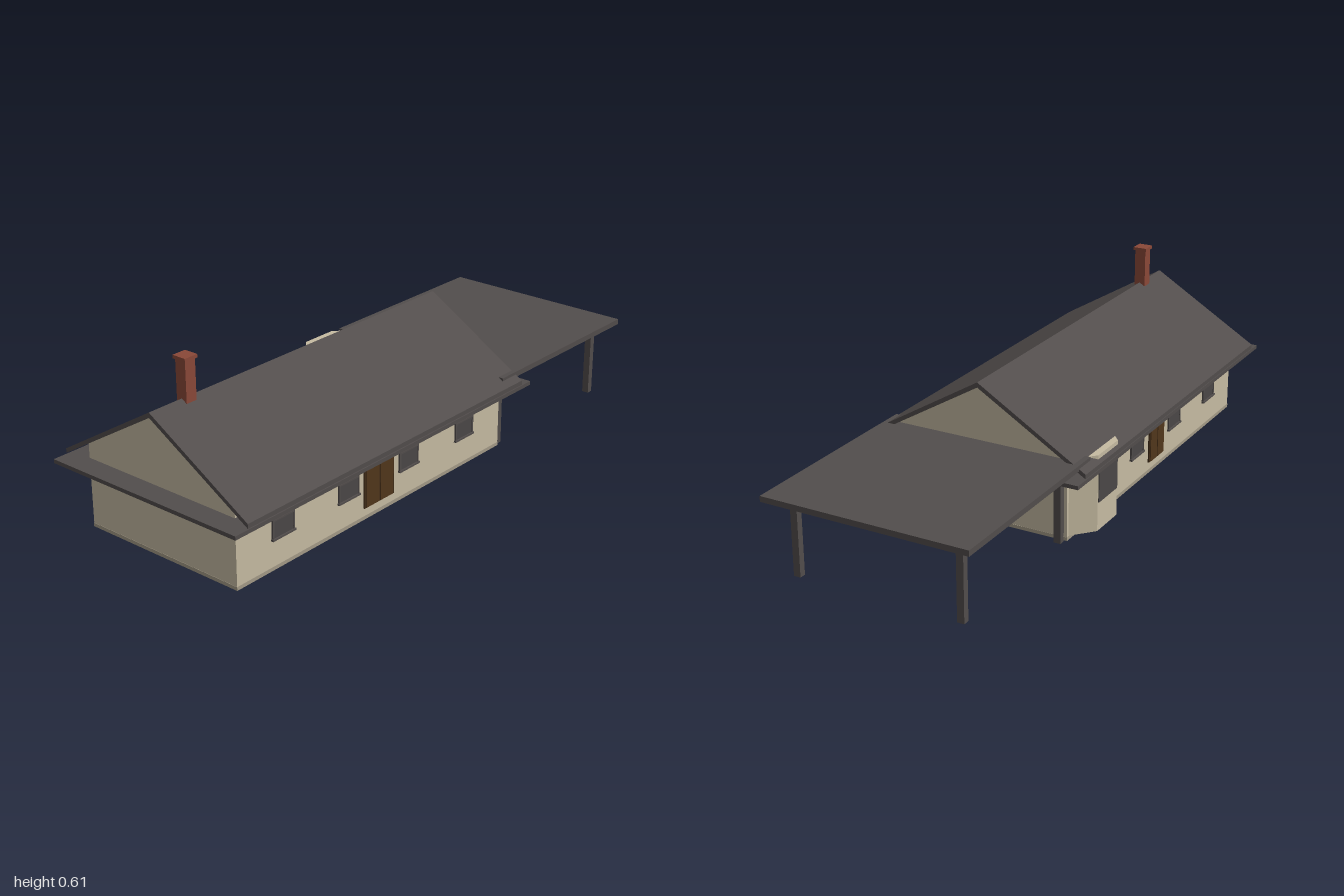
import * as THREE from 'three';

const mat = (name, color) => {
  const m = new THREE.MeshStandardMaterial({ color });
  m.name = name;
  return m;
};

export function createModel() {
  const house = new THREE.Group();
  house.name = 'house';
  const wall = mat('wall beige', 0xc6bba2);
  const base = mat('foundation stone', 0xa39a86);
  const roof = mat('roof grey', 0x524d4c);
  const glass = mat('window dark', 0x4b4747);
  const brick = mat('chimney brick', 0x8a4838);
  const wood = mat('door brown', 0x51361b);
  const trim = mat('door frame brown', 0x3f2b17);

  const add = (name, geometry, material, parent = house) => {
    const m = new THREE.Mesh(geometry, material);
    m.name = name;
    parent.add(m);
    return m;
  };
  // Box given by its lower and upper limits on each axis
  const box = (name, material, x0, x1, y0, y1, z0, z1, parent) => {
    const g = new THREE.BoxGeometry(x1 - x0, y1 - y0, z1 - z0);
    g.translate((x0 + x1) / 2, (y0 + y1) / 2, (z0 + z1) / 2);
    return add(name, g, material, parent);
  };
  const extrude = (pts, depth) => new THREE.ExtrudeGeometry(
    new THREE.Shape(pts.map(p => new THREE.Vector2(...p))), { depth, bevelEnabled: false });
  // Cross-section (z, y) swept along x
  const alongX = (pts, x0, x1) => extrude(pts, x1 - x0).rotateY(Math.PI / 2).translate(x0, 0, 0);

  // Foundation and gabled walls
  box('foundation', base, -0.925, 0.341, 0, 0.012, -0.304, 0.304);
  add('walls', alongX([[-0.303, 0.012], [0.303, 0.012], [0.303, 0.281], [0, 0.461], [-0.303, 0.281]],
    -0.924, 0.34), wall);

  // Flat eaves, pitched roof
  box('eaves', roof, -1, 0.412, 0.219, 0.232, -0.378, 0.378);
  add('pitchedRoof', alongX([[-0.378, 0.25], [-0.378, 0.235], [0, 0.46], [0.378, 0.235], [0.378, 0.25], [0, 0.477]],
    -0.95, 0.363), roof);

  // Chimney
  box('chimneyStack', brick, -0.82, -0.78, 0.4, 0.597, -0.02, 0.02);
  box('chimneyCap', brick, -0.825, -0.775, 0.597, 0.608, -0.025, 0.025);

  // Carport
  const carport = new THREE.Group();
  carport.name = 'carport';
  house.add(carport);
  box('carportRoof', roof, 0.288, 1, 0.256, 0.275, -0.355, 0.353, carport);
  for (const s of [-1, 1]) {
    const z = s * 0.294;
    box('carportBeam', roof, 0.345, 0.945, 0.232, 0.256, z - 0.011, z + 0.011, carport);
    for (const x of [0.358, 0.925]) {
      const pz = s * 0.284;
      box('carportPost', roof, x - 0.011, x + 0.011, 0, 0.256, pz - 0.012, pz + 0.012, carport);
    }
  }

  // Window built facing +z around the origin of x, with its sill at y = 0.1
  const addWindow = (x, back) => {
    const g = new THREE.Group();
    g.name = back ? 'backWindow' : 'frontWindow';
    box('windowPane', glass, -0.042, 0.042, 0.104, 0.219, 0, 0.004, g);
    for (const s of [-1, 1]) box('windowJamb', roof, s * 0.044 - 0.003, s * 0.044 + 0.003, 0.104, 0.219, 0, 0.006, g);
    box('windowRail', roof, -0.042, 0.042, 0.16, 0.165, 0, 0.006, g);
    box('windowSill', roof, -0.05, 0.05, 0.099, 0.105, 0, 0.009, g);
    g.position.set(x, 0, back ? -0.303 : 0.303);
    if (back) g.rotation.y = Math.PI;
    house.add(g);
  };
  for (const x of [-0.73, -0.438, -0.147, 0.143]) addWindow(x, false);
  for (const x of [-0.73, -0.438, -0.147]) addWindow(x, true);

  // Doors: a frame with two leaves
  const addDoor = (name, x, width, back) => {
    const g = new THREE.Group();
    g.name = name;
    const h = width / 2;
    box('doorFrame', trim, -h, h, 0.04, 0.222, 0, 0.005, g);
    for (const s of [-1, 1]) {
      const c = s * h * 0.47, w = h * 0.42;
      box('doorLeaf', wood, c - w, c + w, 0.042, 0.216, 0.004, 0.008, g);
    }
    g.position.set(x, 0, back ? -0.303 : 0.303);
    if (back) g.rotation.y = Math.PI;
    house.add(g);
  };
  addDoor('frontDoor', -0.294, 0.143, false);
  addDoor('backDoor', -0.296, 0.115, true);

  // Bay at the back: plan outline extruded upwards
  add('bay', extrude([[0.05, 0.302], [0.33, 0.302], [0.257, 0.366], [0.123, 0.366]], 0.258)
    .rotateX(-Math.PI / 2).translate(0, 0.013, 0), wall);
  box('bayWindow', glass, 0.127, 0.253, 0.11, 0.219, -0.369, -0.365);

  return house;
}
